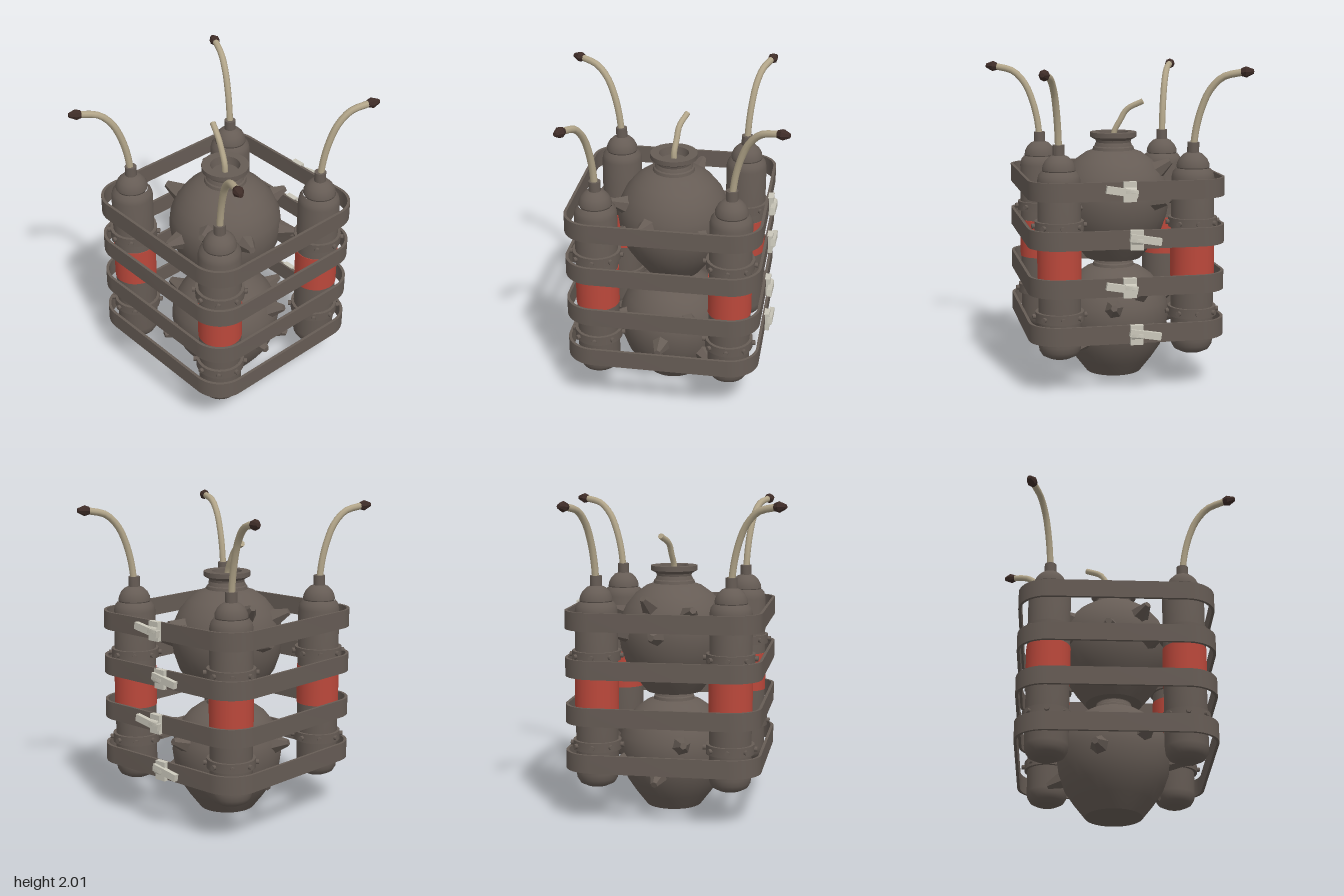
import * as THREE from 'three';
import { toCreasedNormals } from 'three/addons/utils/BufferGeometryUtils.js';

const mat = (name, color) => Object.assign(new THREE.MeshStandardMaterial({ color }), { name });
const V = (x, y, z) => new THREE.Vector3(x, y, z);
const UP = V(0, 1, 0);

export function createModel() {
  const iron = mat('dark iron', 0x665c55);
  const red = mat('red paint', 0xbb483b);
  const rope = mat('fuse rope', 0xb3a68a);
  const burnt = mat('burnt tip', 0x3f2d28);
  const clasp = mat('pale clasp', 0xcac7ba);

  const model = new THREE.Group();
  model.name = 'bombCluster';

  const add = (parent, name, geo, material, x = 0, y = 0, z = 0) => {
    const mesh = new THREE.Mesh(geo, material);
    mesh.name = name;
    mesh.position.set(x, y, z);
    parent.add(mesh);
    return mesh;
  };
  const lathe = (pts, segs) => toCreasedNormals(
    new THREE.LatheGeometry(pts.map(p => new THREE.Vector2(p[0], p[1])), segs), 0.6);
  const tube = (pts, r) => new THREE.TubeGeometry(
    new THREE.CatmullRomCurve3(pts), (pts.length - 1) * 3, r, 8);

  // Round bombs: flat base, swollen body, neck and scalloped flange
  const bodyGeo = lathe([[0, 0], [0.18, 0], [0.25, 0.09], [0.31, 0.18], [0.345, 0.28],
    [0.36, 0.385], [0.35, 0.47], [0.31, 0.56], [0.25, 0.635], [0.18, 0.685], [0.125, 0.705]], 32);
  const neckGeo = lathe([[0.13, 0.69], [0.125, 0.72], [0.112, 0.75], [0.115, 0.765], [0.15, 0.785],
    [0.15, 0.815], [0.095, 0.815], [0.085, 0.765], [0, 0.765]], 24);
  const collarGeo = lathe([[0.12, 0.68], [0.135, 0.7], [0.13, 0.72], [0.112, 0.735]], 32);
  const spikeGeo = toCreasedNormals(new THREE.CylinderGeometry(0.022, 0.072, 0.13, 6), 0.5);

  // Spikes: points on the skin, with y measured from the bomb's base
  const upperSpikes = [
    [0.22, 0.37, 0.29], [-0.12, 0.44, 0.33], [-0.28, 0.33, 0.22], [-0.28, 0.5, 0.15],
    [-0.36, 0.38, -0.04], [0.31, 0.48, 0.09], [0.28, 0.4, -0.22], [-0.14, 0.53, -0.29],
    [0.11, 0.58, -0.27], [0.06, 0.4, -0.36]];
  const lowerSpikes = [
    [0.14, 0.51, 0.29], [-0.03, 0.36, 0.36], [0.24, 0.25, 0.25], [0.26, 0.55, -0.11],
    [0.33, 0.48, 0.06], [0.3, 0.31, -0.2], [0.05, 0.25, -0.34], [-0.3, 0.45, 0.17],
    [-0.33, 0.35, -0.1], [-0.1, 0.46, -0.33]];

  [['lowerBomb', 0, lowerSpikes], ['upperBomb', 0.755, upperSpikes]].forEach(([name, y, spikes]) => {
    const bomb = new THREE.Group();
    bomb.name = name;
    bomb.position.y = y;
    add(bomb, 'bombBody', bodyGeo, iron);
    add(bomb, 'bombNeck', neckGeo, iron);
    add(bomb, 'neckCollar', collarGeo, iron);
    spikes.forEach(s => {
      const dir = V(s[0], s[1] - 0.385, s[2]).normalize();
      const spike = add(bomb, 'spike', spikeGeo, iron);
      spike.position.copy(dir).multiplyScalar(0.385).add(V(0, 0.385, 0));
      spike.quaternion.setFromUnitVectors(UP, dir);
    });
    model.add(bomb);
  });

  // Short central fuse
  const end = V(0.055, 1.765, -0.175);
  add(model, 'centreFuse', tube([V(0, 1.5, 0), V(0, 1.57, -0.005), V(0.01, 1.64, -0.04),
    V(0.02, 1.715, -0.085), end], 0.019), rope);
  const cap = add(model, 'centreFuseEnd', new THREE.CylinderGeometry(0.019, 0.019, 0.012, 8), rope,
    end.x, end.y, end.z);
  cap.quaternion.setFromUnitVectors(UP, V(0.035, 0.05, -0.09).normalize());

  // Corner canisters
  const shellGeo = lathe([[0, 0.212], [0.07, 0.215], [0.11, 0.235], [0.128, 0.265], [0.133, 0.3],
    [0.133, 1.32], [0.125, 1.355], [0.105, 1.38]], 24);
  const capGeo = lathe([[0.095, 1.37], [0.103, 1.385], [0.1, 1.41], [0.085, 1.44], [0.06, 1.465],
    [0.037, 1.475], [0.037, 1.538], [0, 1.538]], 20);
  const redGeo = new THREE.CylinderGeometry(0.137, 0.137, 0.25, 24, 1);
  const ringGeo = toCreasedNormals(new THREE.CylinderGeometry(0.152, 0.152, 0.06, 24), 0.6);
  const boltGeo = toCreasedNormals(new THREE.CylinderGeometry(0.016, 0.016, 0.04, 8), 0.9);
  const fuseGeo = tube([V(0, 1.5, 0), V(0.018, 1.63, 0), V(0.05, 1.75, 0), V(0.1, 1.86, 0),
    V(0.18, 1.94, 0), V(0.31, 1.972, 0)], 0.022);
  const tipGeo = lathe([[0, -0.01], [0.024, -0.01], [0.034, 0.02], [0.014, 0.065], [0, 0.068]], 8);

  for (let i = 0; i < 4; i++) {
    const can = new THREE.Group();
    can.name = 'canister';
    const a = i * Math.PI / 2;
    // Each corner is a quarter turn of the front left one
    can.position.set(0.42, 0, 0.42).applyAxisAngle(UP, a);
    can.rotation.y = a;
    add(can, 'canisterShell', shellGeo, iron);
    add(can, 'canisterCap', capGeo, iron);
    add(can, 'redBand', redGeo, red, 0, 0.825, 0);
    [0.48, 1.045].forEach(y => {
      add(can, 'boltedRing', ringGeo, iron, 0, y, 0);
      for (let k = 0; k < 8; k++) {
        const t = k * Math.PI / 4;
        const dir = V(Math.cos(t), 0, Math.sin(t));
        const bolt = add(can, 'ringBolt', boltGeo, iron, dir.x * 0.15, y, dir.z * 0.15);
        bolt.quaternion.setFromUnitVectors(UP, dir);
      }
    });
    // Long bent fuse, leaning outwards
    const fuse = new THREE.Group();
    fuse.name = 'longFuse';
    fuse.rotation.y = -Math.atan2(0.14, 0.33);
    add(fuse, 'fuseRope', fuseGeo, rope);
    add(fuse, 'fuseTip', tipGeo, burnt, 0.3, 1.97, 0).rotation.z = -1.5;
    can.add(fuse);
    model.add(can);
  }

  // Rounded square straps around all four canisters
  const roundedSquare = (path, h, r) => {
    path.moveTo(h, -h + r);
    [[1, 1, 0], [-1, 1, 1], [-1, -1, 2], [1, -1, 3]].forEach(([sx, sy, q]) =>
      path.absarc(sx * (h - r), sy * (h - r), r, q * Math.PI / 2, (q + 1) * Math.PI / 2, false));
    path.closePath();
    return path;
  };
  const strapShape = roundedSquare(new THREE.Shape(), 0.615, 0.19);
  strapShape.holes.push(roundedSquare(new THREE.Path(), 0.597, 0.172));
  const strapGeo = toCreasedNormals(new THREE.ExtrudeGeometry(strapShape,
    { depth: 0.115, bevelEnabled: false, curveSegments: 8 }).rotateX(-Math.PI / 2), 0.6);
  const plateGeo = new THREE.BoxGeometry(0.035, 0.122, 0.08);
  const leverGeo = new THREE.BoxGeometry(0.03, 0.045, 0.195);
  const pivotGeo = toCreasedNormals(new THREE.CylinderGeometry(0.028, 0.028, 0.07, 10).rotateX(Math.PI / 2), 0.7);

  // Straps with clasps whose levers alternate in direction
  [1.27, 0.975, 0.682, 0.388].forEach((y, i) => {
    const s = i % 2 ? -1 : 1;
    add(model, 'strap', strapGeo, iron, 0, y - 0.0575, 0);
    add(model, 'claspPlate', plateGeo, clasp, 0.625, y, s * 0.022);
    add(model, 'claspPivot', pivotGeo, clasp, 0.636, y + 0.002, s * 0.02);
    add(model, 'claspLever', leverGeo, clasp, 0.647, y + 0.003, s * 0.073).rotation.x = -0.17;
  });

  return model;
}
